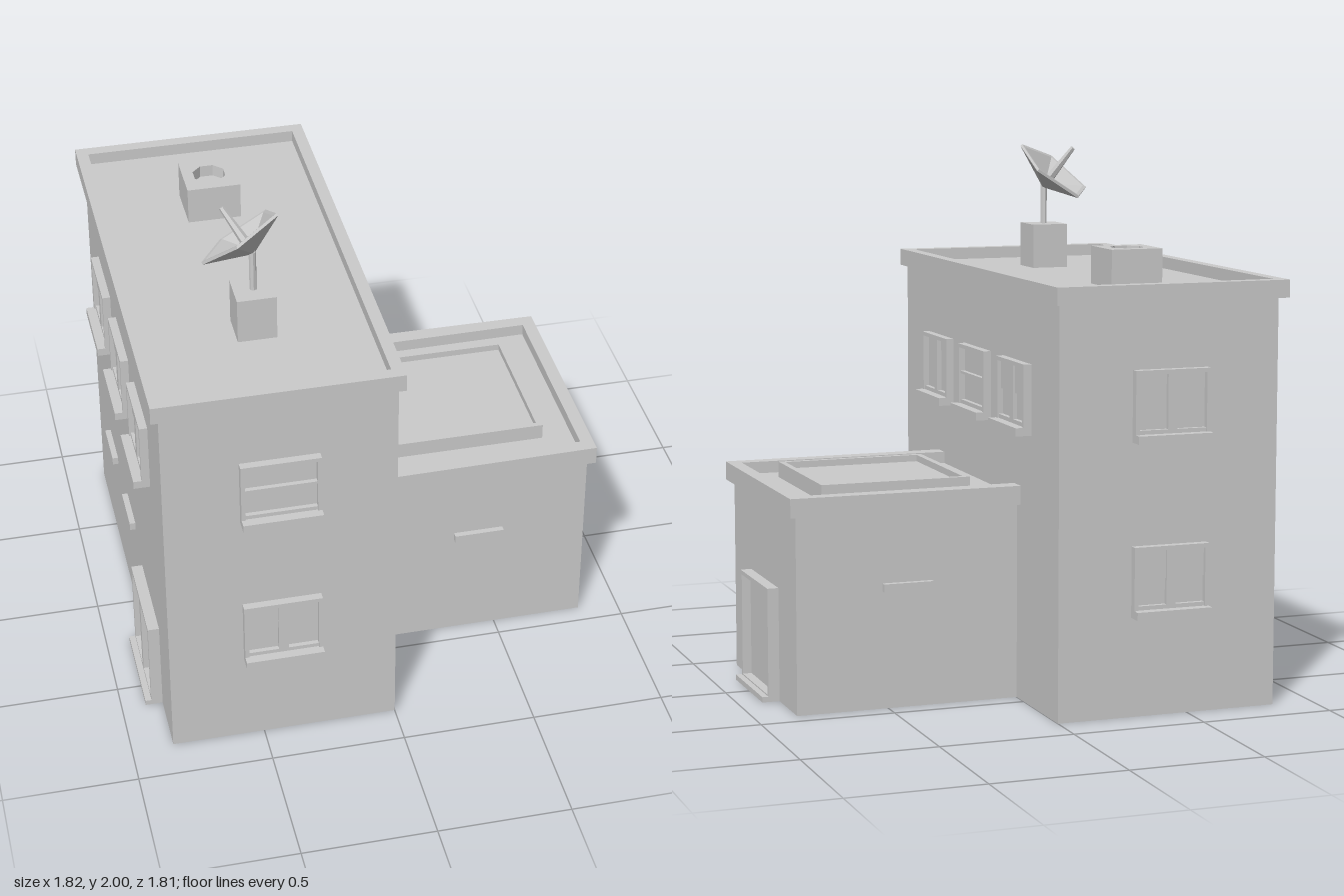
import * as THREE from 'three';

const mat = new THREE.MeshStandardMaterial({ color: 0xcccccc, flatShading: true });

function add(parent, name, geometry) {
  const mesh = new THREE.Mesh(geometry, mat);
  mesh.name = name;
  parent.add(mesh);
  return mesh;
}

// Box given by its min and max corners
function block(parent, name, [x0, y0, z0], [x1, y1, z1]) {
  const g = new THREE.BoxGeometry(x1 - x0, y1 - y0, z1 - z0);
  g.translate((x0 + x1) / 2, (y0 + y1) / 2, (z0 + z1) / 2);
  return add(parent, name, g);
}

const rect = (x0, y0, x1, y1) => [[x0, y0], [x1, y0], [x1, y1], [x0, y1]];

// Plate with holes, extruded along +z
function plate(outline, holes, depth) {
  const v = (pts) => pts.map(([x, y]) => new THREE.Vector2(x, y));
  const shape = new THREE.Shape(v(outline));
  holes.forEach((h) => shape.holes.push(new THREE.Path(v(h))));
  return new THREE.ExtrudeGeometry(shape, { depth, bevelEnabled: false });
}

// Same plate laid flat between y0 and y1 (outline given as x, -z)
function slab(parent, name, outline, holes, y0, y1) {
  return add(parent, name, plate(outline, holes, y1 - y0).rotateX(-Math.PI / 2).translate(0, y0, 0));
}

// Window on a wall plane: frame, panes and sill; style is 'slider', 'casement' or 'sash'
function makeWindow(style) {
  const g = new THREE.Group();
  g.name = style + 'Window';
  const holes = style === 'slider'
    ? [rect(-0.13, 0.045, 0.13, 0.145), rect(-0.13, 0.155, 0.13, 0.245)]
    : [rect(-0.13, 0.045, -0.018, 0.245), rect(0.018, 0.045, 0.13, 0.245)];
  add(g, 'innerFrame', plate(rect(-0.13, 0.03, 0.13, 0.245), holes, 0.024));
  add(g, 'outerFrame', plate(rect(-0.145, 0.03, 0.145, 0.26), [rect(-0.13, 0.03, 0.13, 0.245)], 0.03));
  block(g, 'glass', [-0.13, 0.03, 0], [0.13, 0.245, 0.007]);
  if (style === 'sash') block(g, 'upperSash', [-0.13, 0.14, 0], [0.13, 0.245, 0.015]);
  block(g, 'sill', [-0.145, 0, 0], [0.145, 0.03, 0.06]);
  return g;
}

// Door: frame, recessed panel, threshold
function makeDoor(width, height, double) {
  const g = new THREE.Group();
  g.name = double ? 'doubleDoor' : 'wideDoor';
  const w = width / 2, b = 0.016;
  const holes = double
    ? [rect(-w + b, 0.03, -0.015, height - b), rect(0.015, 0.03, w - b, height - b)]
    : [rect(-w + b, 0.025, w - b, height - b)];
  add(g, 'doorFrame', plate(rect(-w, 0.01, w, height), holes, 0.042));
  block(g, 'doorPanel', [-w + 0.005, 0.01, 0], [w - 0.005, height - 0.005, 0.008]);
  block(g, 'threshold', [-w, 0, 0], [w, 0.02, 0.065]);
  return g;
}

function makeSlot() {
  const g = new THREE.Group();
  g.name = 'wallVent';
  block(g, 'ventHood', [-0.095, 0, 0], [0.095, 0.03, 0.022]);
  return g;
}

export function createModel() {
  const model = new THREE.Group();
  model.name = 'building';
  const W = 0.845;

  // Puts a wall part at (x, y, z), turned to face the given direction
  const turns = { front: 0, left: Math.PI / 2, back: Math.PI, right: -Math.PI / 2 };
  const place = (part, face, x, y, z) => {
    part.rotation.y = turns[face];
    part.position.set(x, y, z);
    model.add(part);
  };

  // Tower
  block(model, 'towerWalls', [-W, 0, -W], [0, 1.5, W]);
  block(model, 'towerRoof', [-0.84, 1.49, -0.84], [-0.01, 1.52, 0.84]);
  slab(model, 'towerParapet', rect(-0.875, -0.875, 0.02, 0.875),
    [rect(-0.83, -0.828, -0.025, 0.828)], 1.5, 1.565);

  // Annex with a slightly tapering three-sided parapet
  block(model, 'annexWalls', [0, 0, -0.425], [W, 0.73, 0.425]);
  block(model, 'annexRoof', [0, 0.72, -0.41], [0.83, 0.755, 0.41]);
  slab(model, 'annexParapet', [[0, -0.46], [0.872, -0.45], [0.872, 0.455], [0, 0.463],
    [0, 0.395], [0.822, 0.402], [0.822, -0.398], [0, -0.393]], [], 0.73, 0.8);

  // Skylight
  slab(model, 'skylightFrame', rect(0.135, -0.285, 0.707, 0.29),
    [rect(0.158, -0.265, 0.685, 0.27)], 0.75, 0.815);
  block(model, 'skylightGlass', [0.15, 0.75, -0.275], [0.69, 0.79, 0.27]);

  // Windows
  place(makeWindow('slider'), 'front', -0.425, 1, W);
  place(makeWindow('sash'), 'front', -0.425, 0.365, W);
  place(makeWindow('casement'), 'back', -0.425, 1, -W);
  place(makeWindow('sash'), 'back', -0.425, 0.365, -W);
  ['sash', 'slider', 'casement'].forEach((style, i) => {
    const z = (i - 1) * 0.425;
    place(makeWindow(style), 'left', 0, 1, z);
    place(makeWindow('sash'), 'right', -W, 1, z);
  });

  // Doors
  place(makeDoor(0.38, 0.425, false), 'left', W, 0, 0);
  place(makeDoor(0.38, 0.365, true), 'right', -W, 0, 0.42);

  // Wall vents
  place(makeSlot(), 'front', 0.425, 0.435, 0.425);
  place(makeSlot(), 'back', 0.425, 0.435, -0.425);
  [-0.425, 0].forEach((z) => place(makeSlot(), 'right', -W, 0.435, z));

  // Roof vent with an octagonal opening
  const octagon = Array.from({ length: 8 }, (_, i) => {
    const a = (i + 0.5) * Math.PI / 4;
    return [-0.427 + 0.063 * Math.cos(a), 0.43 + 0.063 * Math.sin(a)];
  });
  slab(model, 'roofVent', rect(-0.527, 0.328, -0.327, 0.528), [octagon], 1.51, 1.66);
  block(model, 'roofVentFloor', [-0.52, 1.51, -0.52], [-0.335, 1.615, -0.335]);

  // Satellite dish: plinth, mast, five-sided bowl and feed horn
  block(model, 'dishPlinth', [-0.497, 1.51, 0.345], [-0.355, 1.69, 0.487]);
  add(model, 'dishMast', new THREE.CylinderGeometry(0.013, 0.013, 0.17, 8).translate(-0.425, 1.76, 0.415));

  const dish = new THREE.Group();
  dish.name = 'dish';
  const profile = [[0, -0.08], [0.168, -0.004], [0.166, 0.006], [0.15, 0.004], [0, -0.062]]
    .map(([r, y]) => new THREE.Vector2(r, y));
  add(dish, 'dishBowl', new THREE.LatheGeometry(profile, 5));
  add(dish, 'dishFeed', new THREE.CylinderGeometry(0.01, 0.02, 0.19, 6).translate(0, 0.025, 0));
  const up = new THREE.Vector3(-0.485, 0.78, -0.39).normalize();
  const corner = new THREE.Vector3(-0.047, -0.097, -0.127).projectOnPlane(up).normalize();
  const side = new THREE.Vector3().crossVectors(up, corner);
  dish.quaternion.setFromRotationMatrix(new THREE.Matrix4().makeBasis(side, up, corner));
  dish.position.set(-0.458, 1.895, 0.382);
  model.add(dish);

  return model;
}
